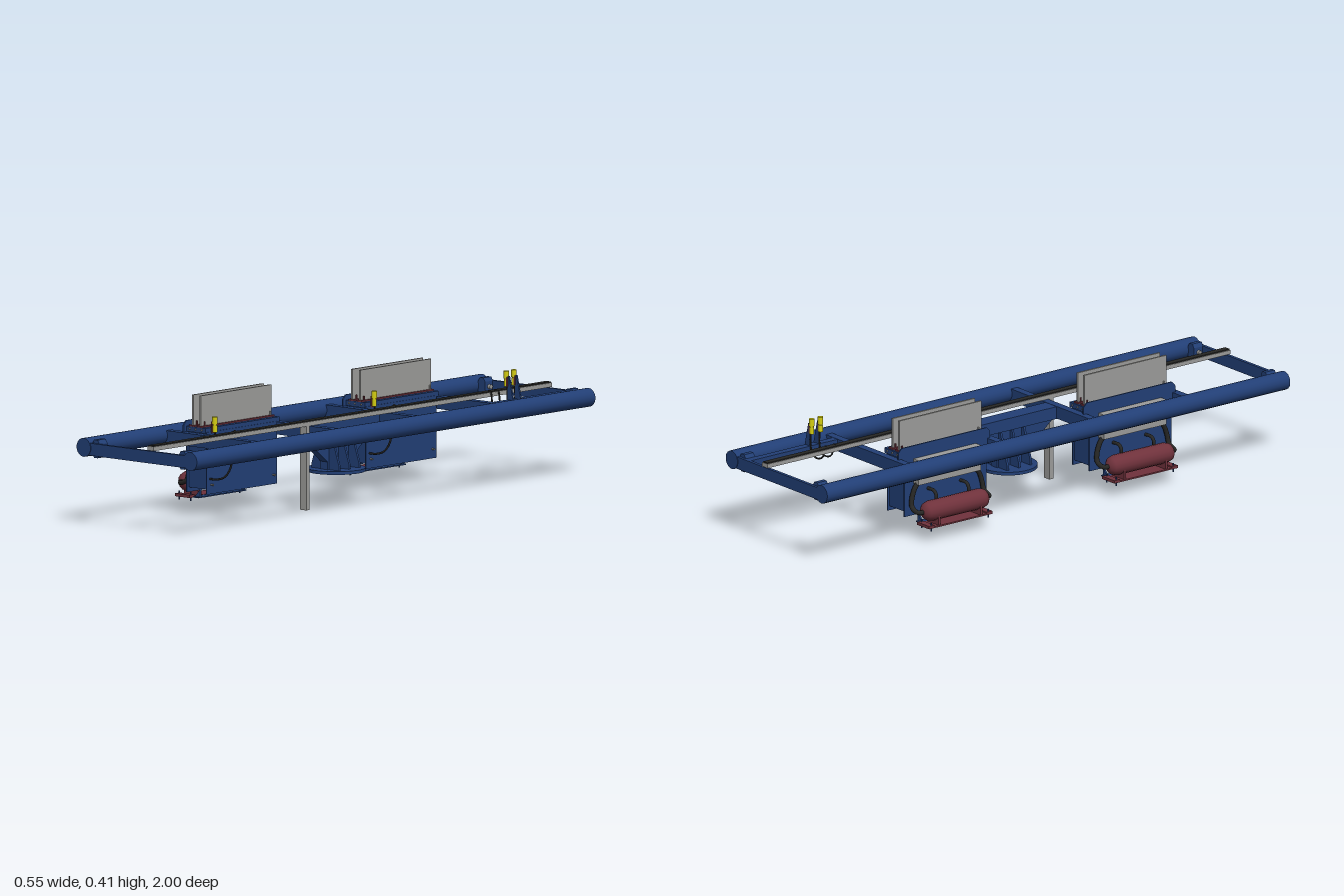
import * as THREE from 'three';

const mat = (name, color, side = THREE.FrontSide) => {
  const m = new THREE.MeshStandardMaterial({ color, side });
  m.name = name;
  return m;
};

export function createModel() {
  const blue = mat('blue paint', 0x223f76);
  const red = mat('dark red paint', 0x70323c);
  const grey = mat('grey metal', 0x9c9c9a);
  const black = mat('black rubber', 0x272725);
  const yellow = mat('yellow plastic', 0xd6cf12);
  const root = new THREE.Group();
  root.name = 'machineFrame';

  const add = (parent, name, geo, m, x = 0, y = 0, z = 0) => {
    const mesh = new THREE.Mesh(geo, m);
    mesh.name = name;
    mesh.position.set(x, y, z);
    parent.add(mesh);
    return mesh;
  };
  // Box given by its minimum and maximum on each axis
  const box = (parent, name, m, x0, x1, y0, y1, z0, z1) =>
    add(parent, name, new THREE.BoxGeometry(x1 - x0, y1 - y0, z1 - z0), m,
      (x0 + x1) / 2, (y0 + y1) / 2, (z0 + z1) / 2);
  // Cylinder along x, y or z
  const rod = (parent, name, m, axis, r, len, x, y, z, sides = 12) => {
    const g = new THREE.CylinderGeometry(r, r, len, sides);
    if (axis === 'x') g.rotateZ(Math.PI / 2);
    if (axis === 'z') g.rotateX(Math.PI / 2);
    return add(parent, name, g, m, x, y, z);
  };
  const hose = (parent, name, r, pts) => {
    const curve = new THREE.CatmullRomCurve3(pts.map(p => new THREE.Vector3(...p)), false, 'centripetal');
    return add(parent, name, new THREE.TubeGeometry(curve, 28, r, 8), black);
  };
  // Flat plate in the xy plane, centred on z
  const plateXY = (pts, t) => new THREE.ExtrudeGeometry(
    new THREE.Shape(pts.map(p => new THREE.Vector2(...p))), { depth: t, bevelEnabled: false }).translate(0, 0, -t / 2);
  // Flat plate in the zy plane, centred on x
  const plateZY = (pts, t) => plateXY(pts.map(([z, y]) => [-z, y]), t).rotateY(Math.PI / 2);

  // Long side tubes and corner lugs
  for (const s of [-1, 1]) {
    rod(root, 'sideTube', blue, 'z', 0.032, 2, s * 0.242, 0.267, 0, 18);
    for (const e of [-1, 1]) {
      add(root, 'cornerLug', plateXY([[-0.008, -0.031], [0.008, -0.031], [0.016, -0.018], [0.016, 0.018],
        [0.008, 0.031], [-0.008, 0.031], [-0.016, 0.018], [-0.016, -0.018]], 0.04), blue, s * 0.197, 0.265, e * 0.968);
      rod(root, 'lugPin', grey, 'x', 0.008, 0.012, s * 0.177, 0.265, e * 0.968);
    }
  }
  // End plates, cross beams and centre beam
  for (const e of [-1, 1]) {
    box(root, 'endPlate', blue, -0.22, 0.22, 0.242, 0.284, e * 0.992 - 0.006, e * 0.992 + 0.006);
    for (const z of [0.2, 0.6])
      box(root, 'crossBeam', blue, -0.22, 0.22, 0.242, 0.285, e * z - 0.014, e * z + 0.014);
  }
  box(root, 'centreBeam', blue, -0.03, 0.03, 0.241, 0.284, -0.188, 0.188);
  box(root, 'sensorBeam', blue, 0.153, 0.179, 0.243, 0.284, -0.987, -0.613);

  // Centre pedestal with gussets and round foot
  const pedestal = new THREE.Group();
  pedestal.name = 'pedestal';
  root.add(pedestal);
  add(pedestal, 'pedestalWeb', plateZY([[-0.06, 0.112], [0.06, 0.112], [0.06, 0.14], [0.185, 0.242],
    [-0.185, 0.242], [-0.06, 0.14]], 0.032), blue);
  for (const z of [-0.05, 0, 0.05])
    add(pedestal, 'gusset', plateXY([[-0.062, 0.112], [0.062, 0.112], [0.062, 0.13], [0.024, 0.243],
      [-0.024, 0.243], [-0.062, 0.13]], 0.008), blue, 0, 0, z);
  rod(pedestal, 'footPlate', blue, 'y', 0.1, 0.011, 0, 0.108, 0, 32);

  // Cable rail and its post
  box(root, 'cableRail', grey, 0.048, 0.077, 0.286, 0.3, -1, 1);
  box(root, 'railCover', black, 0.051, 0.074, 0.2995, 0.304, -0.998, 0.998);
  box(root, 'railPost', grey, 0.048, 0.077, 0, 0.3, 0.217, 0.234);

  // Stacked yellow lamp
  const lamp = (parent, x, y, z, tilt) => {
    const g = new THREE.Group();
    g.name = 'lamp';
    g.position.set(x, y, z);
    parent.add(g);
    rod(g, 'lampBody', yellow, 'y', 0.008, 0.024, tilt, 0.012, 0);
    rod(g, 'lampNeck', yellow, 'y', 0.006, 0.006, 0, 0.026, 0);
    rod(g, 'lampHead', yellow, 'y', 0.0095, 0.025, 0, 0.04, 0);
  };

  // Press units, built about the middle of each bay
  for (const z of [-0.4, 0.4]) {
    const unit = new THREE.Group();
    unit.name = 'pressUnit';
    unit.position.z = z;
    root.add(unit);

    // Housing with taller outer plate
    box(unit, 'housing', blue, -0.152, -0.064, 0.094, 0.29, -0.165, 0.172);
    box(unit, 'housingTop', blue, -0.15, -0.063, 0.286, 0.304, -0.185, 0.185);
    add(unit, 'outerPlate', plateZY([[-0.172, 0.078], [0.182, 0.078], [0.182, 0.24], [0.198, 0.24], [0.198, 0.308],
      [0.184, 0.323], [-0.184, 0.323], [-0.198, 0.308], [-0.198, 0.24], [-0.172, 0.24]], 0.005), blue, -0.153);
    box(unit, 'innerPlate', blue, -0.065, -0.061, 0.078, 0.29, -0.172, 0.182);

    // Upright grey sheets held in red clamps
    for (const x of [-0.127, -0.092]) {
      box(unit, 'sheet', grey, x - 0.0035, x + 0.0035, 0.3, 0.412, -0.174, 0.18);
      box(unit, 'clamp', red, x - 0.012, x + 0.012, 0.3, 0.309, -0.18, 0.184);
      for (const e of [-1, 1])
        for (const s of [-1, 1])
          rod(unit, 'clampBolt', e * s > 0 ? red : grey, 'y', 0.003, 0.02, x + s * 0.007, 0.313, e * 0.165, 8);
    }
    for (const e of [-1, 1]) {
      for (const x of [-0.135, -0.108, -0.08])
        rod(unit, 'topBolt', grey, 'z', 0.003, 0.006, x, 0.296, e * 0.186, 8);
      for (const y of [0.11, 0.183])
        rod(unit, 'sideBolt', grey, 'x', 0.003, 0.016, -0.057, y, e * 0.155 + 0.005, 8);
      for (const x of [-0.12, -0.108, -0.095])
        rod(unit, 'bottomStud', red, 'y', 0.005, 0.012, x, 0.091, e * 0.1, 8);
    }

    // Motor with domed ends
    const half = [[0, 0.14], [0.018, 0.136], [0.03, 0.125], [0.035, 0.108]];
    const profile = [...half.map(([r, l]) => [r, -l]), ...half.slice().reverse()];
    add(unit, 'motor', new THREE.LatheGeometry(profile.map(p => new THREE.Vector2(...p)), 16).rotateX(Math.PI / 2),
      red, -0.212, 0.102, 0);
    box(unit, 'motorBase', red, -0.245, -0.179, 0.05, 0.055, -0.12, 0.12);
    for (const e of [-1, 1]) {
      box(unit, 'motorCradle', red, -0.243, -0.181, 0.053, 0.09, e * 0.09 - 0.004, e * 0.09 + 0.004);
      box(unit, 'motorFoot', red, -0.245, -0.179, 0.05, 0.06, e * 0.125 - 0.012, e * 0.125 + 0.012);
      for (const x of [-0.238, -0.187])
        rod(unit, 'footBolt', blue, 'y', 0.0025, 0.03, x, 0.053, e * 0.123, 8);
      add(unit, 'shelfBracket', plateXY([[-0.18, 0.05], [-0.153, 0.05], [-0.153, 0.08]], 0.006), blue, 0, 0, e * 0.11);

      // Thick hoses from the motor ends to the grey tank
      hose(unit, 'motorHose', 0.0085, [[-0.212, 0.102, e * 0.132], [-0.21, 0.102, e * 0.15], [-0.195, 0.104, e * 0.155],
        [-0.175, 0.115, e * 0.155], [-0.17, 0.14, e * 0.152], [-0.17, 0.175, e * 0.14], [-0.17, 0.195, e * 0.125]]);
      hose(unit, 'feedHose', 0.006, [[-0.2, 0.13, e * 0.07], [-0.198, 0.15, e * 0.07], [-0.185, 0.16, e * 0.07],
        [-0.153, 0.16, e * 0.07]]);
    }
    box(unit, 'shelf', blue, -0.18, -0.153, 0.05, 0.054, -0.12, 0.12);
    box(unit, 'tank', grey, -0.186, -0.158, 0.19, 0.278, -0.135, 0.135);

    // Warning lamp, bracket and cables to the rail
    box(unit, 'lampBracket', red, -0.063, -0.059, 0.285, 0.324, 0.144, 0.158);
    lamp(unit, -0.052, 0.289, 0.151, 0.001);
    hose(unit, 'sensorCable', 0.0035, [[-0.062, 0.13, 0.165], [-0.03, 0.131, 0.165], [0.005, 0.143, 0.164],
      [0.03, 0.175, 0.163], [0.037, 0.22, 0.162], [0.038, 0.29, 0.162], [0.044, 0.304, 0.162], [0.056, 0.302, 0.162]]);
    hose(unit, 'lampCable', 0.0025, [[-0.052, 0.292, 0.148], [-0.048, 0.26, 0.148], [-0.02, 0.248, 0.148],
      [0.025, 0.26, 0.148], [0.04, 0.295, 0.148], [0.055, 0.302, 0.148]]);
  }

  // Pair of raised lamps on the sensor beam
  for (const z of [-0.73, -0.692]) {
    add(root, 'lampGusset', plateXY([[0.155, 0.28], [0.182, 0.28], [0.162, 0.364], [0.155, 0.364]], 0.006), blue, 0, 0, z);
    box(root, 'lampClip', red, 0.15, 0.157, 0.33, 0.362, z - 0.006, z + 0.006);
    lamp(root, 0.148, 0.329, z, -0.001);
    hose(root, 'raisedLampCable', 0.003, [[0.152, 0.333, z], [0.152, 0.28, z], [0.14, 0.255, z], [0.11, 0.25, z],
      [0.085, 0.265, z], [0.08, 0.295, z], [0.073, 0.304, z], [0.062, 0.302, z]]);
  }
  return root;
}
